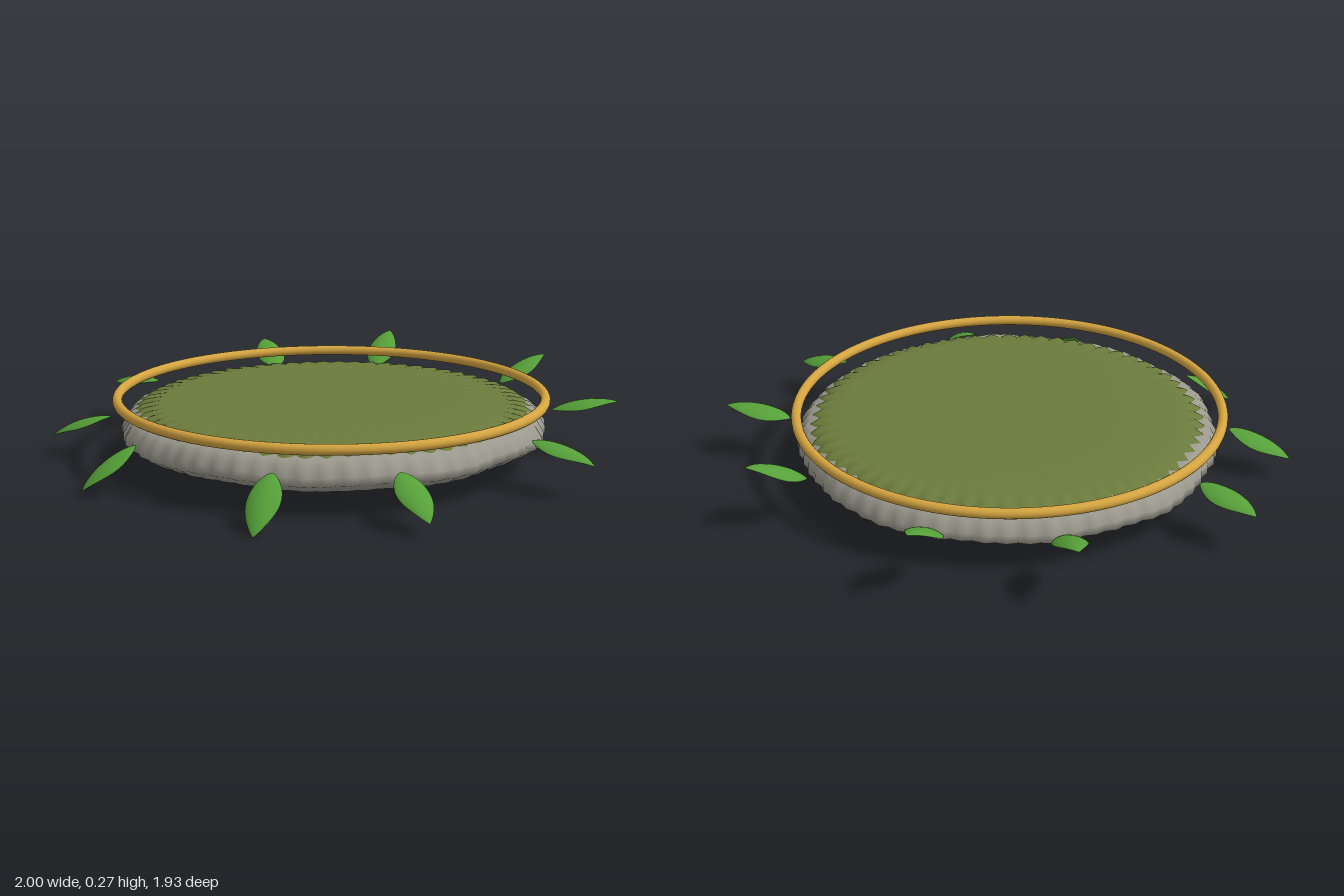
import * as THREE from 'three';
import { mergeVertices } from 'three/addons/utils/BufferGeometryUtils.js';

const mat = (name, color, side = THREE.FrontSide) => {
  const m = new THREE.MeshStandardMaterial({ color, side });
  m.name = name;
  return m;
};

// Lathe whose vertices are moved by a rule, with smooth normals across the seam
function rippledLathe(profile, segments, rule) {
  let g = new THREE.LatheGeometry(profile.map(([x, y]) => new THREE.Vector2(x, y)), segments);
  g.deleteAttribute('uv');
  g.deleteAttribute('normal');
  g = mergeVertices(g, 1e-4);
  const p = g.attributes.position;
  for (let i = 0; i < p.count; i++) {
    const x = p.getX(i), z = p.getZ(i), r = Math.hypot(x, z);
    if (r < 1e-4) continue;
    const [scale, dy] = rule(Math.atan2(x, z), r);
    p.setXYZ(i, x * scale, p.getY(i) + dy, z * scale);
  }
  g.computeVertexNormals();
  return g;
}

// Pointed, arched leaf blade along +z, from 0 to 1 in length and -1 to 1 in width
function leafGeometry(length, halfWidth) {
  const g = new THREE.SphereGeometry(1, 20, 24);
  g.rotateX(Math.PI / 2);
  const p = g.attributes.position;
  for (let i = 0; i < p.count; i++) {
    const t = THREE.MathUtils.clamp(p.getZ(i), -1, 1);
    const s = (t + 1) / 2;
    const ring = Math.sqrt(Math.max(1 - t * t, 0));
    const width = ring > 1e-4 ? Math.pow(Math.sin(Math.PI * Math.pow(s, 0.85)), 0.8) / ring : 0;
    const u = p.getX(i) * width;
    const arch = 0.016 * (1 - t * t) - 0.016 * u * u;
    p.setXYZ(i, u * halfWidth, p.getY(i) * 0.008 + arch, s * length);
  }
  g.computeVertexNormals();
  return g;
}

export function createModel() {
  const group = new THREE.Group();
  const stoneMat = mat('stone grey', 0x9c9a8e);
  const mossMat = mat('moss green', 0x6b7b3c, THREE.DoubleSide);
  const goldMat = mat('gold', 0xd4a440);
  const leafMat = mat('leaf green', 0x56a039);

  const add = (name, geometry, material, x = 0, y = 0, z = 0) => {
    const mesh = new THREE.Mesh(geometry, material);
    mesh.name = name;
    mesh.position.set(x, y, z);
    group.add(mesh);
    return mesh;
  };

  // Weathered stone slab with a rippled rim
  const slab = rippledLathe(
    [[0, 0.03], [0.2, 0.03], [0.42, 0.033], [0.58, 0.05], [0.69, 0.082], [0.74, 0.112],
      [0.738, 0.14], [0.72, 0.17], [0.7, 0.188], [0.66, 0.196], [0.5, 0.198], [0, 0.198]],
    256,
    (a, r) => {
      const k = Math.pow(r / 0.74, 4);
      const wobble = 0.006 * Math.sin(5 * a + 1) + 0.004 * Math.sin(11 * a + 2) + 0.003 * Math.sin(23 * a);
      return [1 + k * (0.006 * Math.cos(64 * a) + wobble), k * 0.004 * Math.sin(9 * a + 0.5)];
    });
  add('stoneSlab', slab, stoneMat, -0.008, 0, 0.012);

  // Moss cushion with a toothed, sloping edge
  const moss = rippledLathe(
    [[0.7, 0.168], [0.688, 0.188], [0.665, 0.203], [0.63, 0.211], [0.58, 0.215], [0.3, 0.216], [0, 0.216]],
    256,
    (a, r) => {
      const k = THREE.MathUtils.smoothstep(r, 0.58, 0.69);
      const tooth = Math.cos(64 * a);
      return [1 + k * 0.009 * tooth, k * 0.004 * tooth];
    });
  add('mossTop', moss, mossMat, -0.005, 0, 0.01);

  // Gold hoop floating just above the rim
  const hoop = new THREE.TorusGeometry(0.749, 0.018, 16, 128);
  hoop.rotateX(Math.PI / 2);
  add('goldHoop', hoop, goldMat, -0.013, 0.232, 0.009);

  // Leaves around the rim: base x, y, z then tip x, y, z
  const leaves = [
    [0.77, 0.165, 0.035, 1.0, 0.2, 0.07],
    [0.66, 0.165, -0.4, 0.845, 0.255, -0.495],
    [0.21, 0.16, -0.745, 0.29, 0.27, -0.935],
    [-0.185, 0.16, -0.76, -0.225, 0.235, -0.97],
    [-0.645, 0.18, -0.45, -0.81, 0.145, -0.61],
    [-0.79, 0.155, -0.015, -1.0, 0.072, -0.085],
    [-0.68, 0.16, 0.4, -0.855, 0.028, 0.465],
    [-0.245, 0.16, 0.75, -0.31, 0.005, 0.91],
    [0.15, 0.16, 0.77, 0.22, 0.05, 0.955],
    [0.615, 0.175, 0.48, 0.795, 0.12, 0.61],
  ];
  for (const [bx, by, bz, tx, ty, tz] of leaves) {
    const dir = new THREE.Vector3(tx - bx, ty - by, tz - bz);
    const leaf = add('rimLeaf', leafGeometry(dir.length(), 0.056), leafMat, bx, by, bz);
    dir.normalize();
    const side = new THREE.Vector3(0, 1, 0).cross(dir).normalize();
    const up = new THREE.Vector3().crossVectors(dir, side);
    leaf.quaternion.setFromRotationMatrix(new THREE.Matrix4().makeBasis(side, up, dir));
  }
  return group;
}
